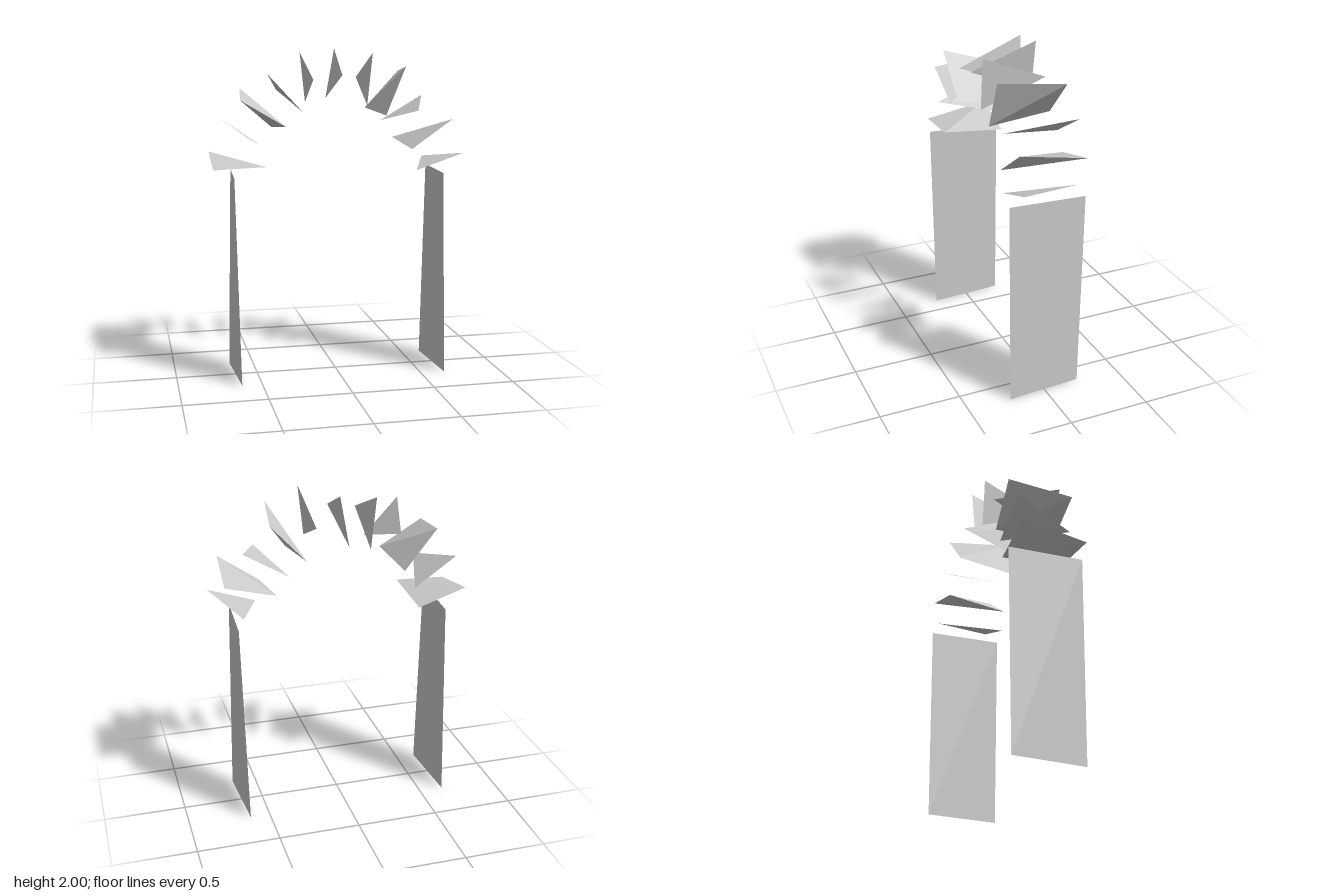
import * as THREE from 'three';

const material = new THREE.MeshStandardMaterial({
  color: 0xcccccc, flatShading: true, side: THREE.DoubleSide,
});

// Mesh from a few corner points and the triangles joining them
function facetMesh(name, points, faces) {
  const indexed = new THREE.BufferGeometry().setFromPoints(points);
  indexed.setIndex(faces);
  const geometry = indexed.toNonIndexed();
  geometry.computeVertexNormals();
  const mesh = new THREE.Mesh(geometry, material);
  mesh.name = name;
  return mesh;
}

// Four-faced solid: points 0 and 1 form the front edge, 2 and 3 the back edge
const SOLID = [0, 1, 2, 0, 3, 1, 1, 3, 2, 0, 2, 3];
const SHARD = [0, 1, 2];

export function createModel() {
  const group = new THREE.Group();
  group.name = 'arch';
  const V = (x, y, z) => new THREE.Vector3(x, y, z);

  // Pillars: thin slabs reduced to two crossing diagonals
  const pillarX = 0.636, halfWidth = 0.014, height = 1.258, pillarZ = 0.23;
  for (const [name, x] of [['leftPillar', pillarX], ['rightPillar', -pillarX]]) {
    group.add(facetMesh(name, [
      V(x - halfWidth, height, pillarZ), V(x + halfWidth, 0, pillarZ),
      V(x + halfWidth, height, -pillarZ), V(x - halfWidth, 0, -pillarZ),
    ], SOLID));
  }

  // Arch stones, counted from the left pillar over the top.
  // S: solid, F: flat shard with its long edge in front, B: long edge at the back
  const kinds = 'FSBSFBBFSBS';
  const inner = 0.465, outer = 0.773, centreY = 1.23, stoneZ = 0.2;
  const spread = THREE.MathUtils.degToRad(2.6);
  const polar = (r, a, z) => V(r * Math.cos(a), centreY + r * Math.sin(a), z);

  [...kinds].forEach((kind, i) => {
    const a = Math.PI * (i + 0.5) / kinds.length;
    const front = [polar(outer, a + spread, stoneZ), polar(inner, a - spread, stoneZ)];
    const back = [polar(outer, a - spread, -stoneZ), polar(inner, a + spread, -stoneZ)];
    const tip = (z) => polar((inner + outer) / 2, a, z);
    const name = `archStone${i + 1}`;
    if (kind === 'S') group.add(facetMesh(name, [...front, ...back], SOLID));
    else if (kind === 'F') group.add(facetMesh(name, [...front, tip(-stoneZ)], SHARD));
    else group.add(facetMesh(name, [...back, tip(stoneZ)], SHARD));
  });

  return group;
}
